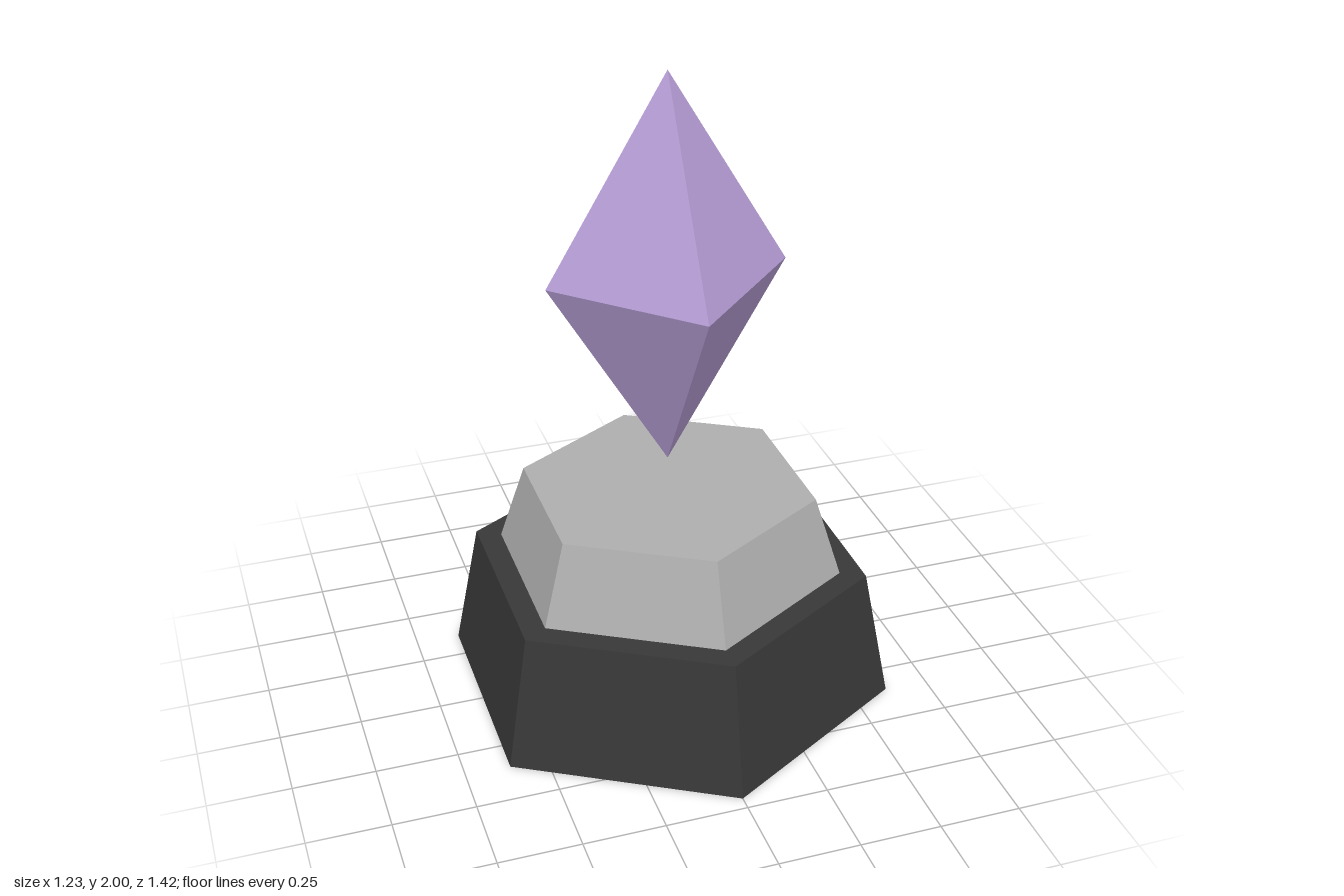
import * as THREE from 'three';

const mat = (name, color) => {
  const m = new THREE.MeshStandardMaterial({ color, flatShading: true });
  m.name = name;
  return m;
};

export function createModel() {
  const group = new THREE.Group();
  group.name = 'crystalOnPedestal';

  const add = (name, geometry, material, y) => {
    const mesh = new THREE.Mesh(geometry, material);
    mesh.name = name;
    mesh.position.y = y;
    group.add(mesh);
  };

  // Tapered six-sided block with corners on the z axis
  const hexBlock = (name, topR, bottomR, y0, y1, material) =>
    add(name, new THREE.CylinderGeometry(topR, bottomR, y1 - y0, 6), material, (y0 + y1) / 2);

  // Pedestal
  hexBlock('pedestalBase', 0.625, 0.708, 0, 0.418, mat('charcoal', 0x383838));
  hexBlock('pedestalTop', 0.46, 0.543, 0.418, 0.673, mat('stoneGrey', 0xaeaeae));

  // Floating stretched octahedron
  const crystal = new THREE.OctahedronGeometry(1).scale(0.367, 0.617, 0.367);
  add('crystal', crystal, mat('lilac', 0xb59cd4), 1.383);

  return group;
}
